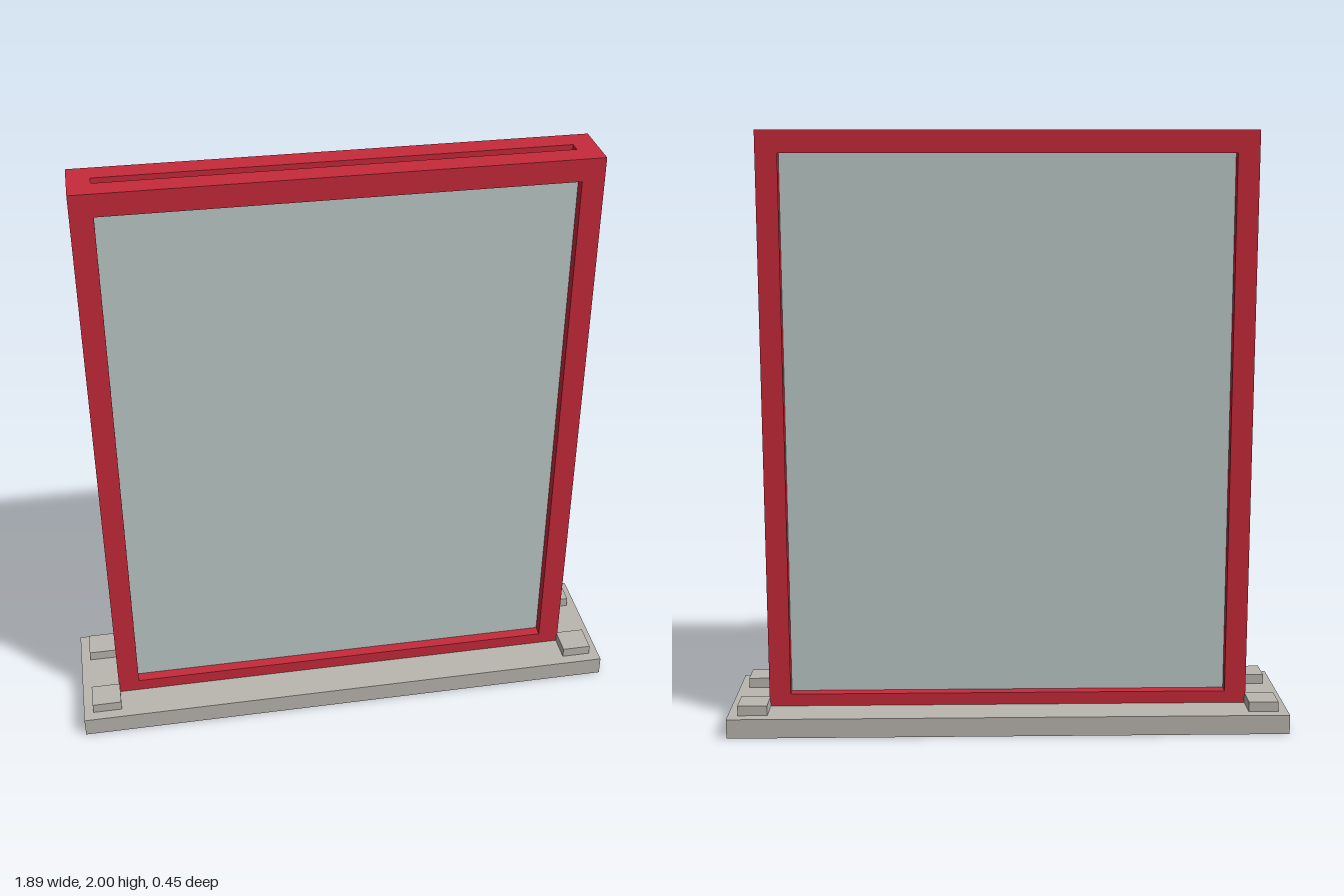
import * as THREE from 'three';

const W = 0.815, TOP = 2, BOTTOM = 0.04;            // frame outline
const IN_X = 0.743, IN_TOP = 1.926, IN_BOTTOM = 0.108; // opening
const DEPTH = 0.097, SLOT = 0.019;                  // half depth, half slot width

const rect = (Type, x0, x1, y0, y1) => {
  const s = new Type();
  s.moveTo(x0, y0);
  s.lineTo(x1, y0);
  s.lineTo(x1, y1);
  s.lineTo(x0, y1);
  s.closePath();
  return s;
};

export function createModel() {
  const model = new THREE.Group();
  model.name = 'framedPanel';
  const red = new THREE.MeshStandardMaterial({ color: 0xc62a39 });
  red.name = 'red';
  const glass = new THREE.MeshStandardMaterial({ color: 0xbbc9c8 });
  glass.name = 'paleGlass';
  const stone = new THREE.MeshStandardMaterial({ color: 0xbab6af });
  stone.name = 'stone';

  const add = (name, geometry, material) => {
    const mesh = new THREE.Mesh(geometry, material);
    mesh.name = name;
    model.add(mesh);
    return mesh;
  };
  const box = (name, material, x0, x1, y0, y1, z0, z1) =>
    add(name, new THREE.BoxGeometry(x1 - x0, y1 - y0, z1 - z0), material)
      .position.set((x0 + x1) / 2, (y0 + y1) / 2, (z0 + z1) / 2);

  // Base slab
  box('base', stone, -0.945, 0.945, 0, 0.066, -0.225, 0.225);

  // Small blocks at the corners of the base
  for (const sx of [-1, 1]) for (const sz of [-1, 1]) {
    const block = add('cornerBlock', new THREE.BoxGeometry(0.1, 0.04, 0.096), stone);
    block.position.set(sx * 0.862, 0.08, sz * 0.14);
  }

  // Front and back frames, parted by a slot
  const outline = rect(THREE.Shape, -W, W, BOTTOM, TOP);
  outline.holes.push(rect(THREE.Path, -IN_X, IN_X, IN_BOTTOM, IN_TOP));
  const frame = new THREE.ExtrudeGeometry(outline, { depth: DEPTH - SLOT, bevelEnabled: false });
  add('frontFrame', frame, red).position.z = SLOT;
  add('backFrame', frame, red).position.z = -DEPTH;

  // Corner pieces joining the two frames
  for (const [x0, x1] of [[-W, -IN_X], [IN_X, W]]) {
    box('upperJoint', red, x0, x1, IN_TOP, TOP, -SLOT, SLOT);
    box('lowerJoint', red, x0, x1, BOTTOM, IN_BOTTOM, -SLOT, SLOT);
  }

  // Glass body set into the frame
  box('glass', glass, -0.778, 0.778, 0.07, 1.963, -0.06, 0.06);

  return model;
}
